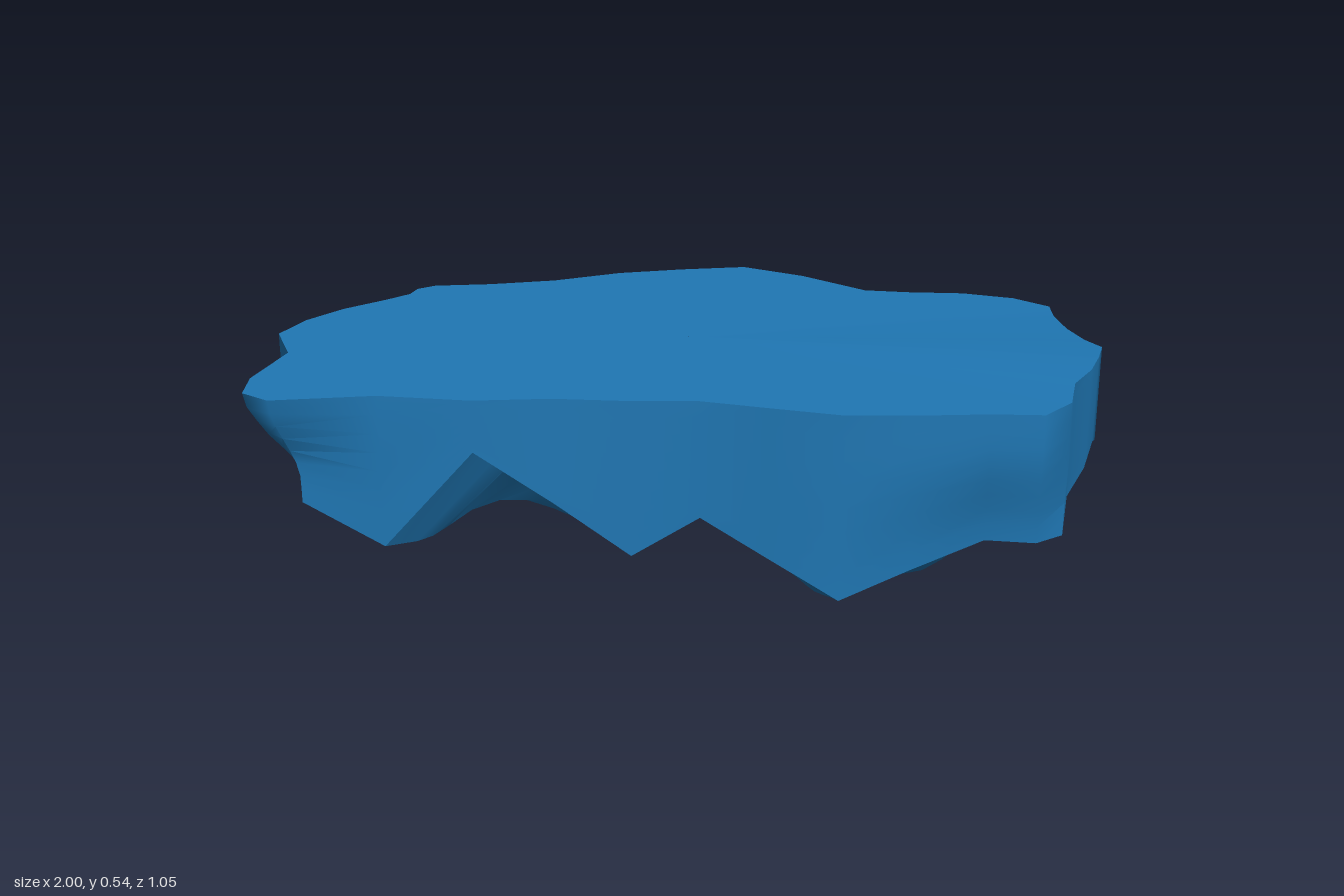
import * as THREE from 'three';
import { toCreasedNormals } from 'three/addons/utils/BufferGeometryUtils.js';

// Outline of the slab, clockwise from above: x, z, height of the wall's lower rim
const OUTLINE = [
  [-1, 0.11, 0.24], [-0.96, 0.01, 0.18], [-0.89, -0.08, 0.12], [-0.80, -0.16, 0.13], [-0.75, -0.21, 0.25],
  [-0.74, -0.25, 0.30], [-0.70, -0.28, 0.31], [-0.56, -0.31, 0.24], [-0.40, -0.36, 0.23], [-0.24, -0.44, 0.29],
  [-0.08, -0.49, 0.15], [0.08, -0.53, 0.13], [0.24, -0.48, 0.24], [0.41, -0.39, 0.21], [0.52, -0.39, 0.16],
  [0.66, -0.40, 0.06], [0.79, -0.38, 0.045], [0.88, -0.33, 0.12], [0.89, -0.26, 0.15], [0.92, -0.17, 0.21],
  [0.96, -0.09, 0.27], [1, -0.04, 0.30], [0.99, 0.03, 0.325], [0.97, 0.11, 0.29], [0.93, 0.19, 0.25],
  [0.92, 0.30, 0.20], [0.86, 0.38, 0.19], [0.74, 0.39, 0.195], [0.57, 0.42, 0.13], [0.41, 0.44, 0.065],
  [0.24, 0.42, 0.155], [0.08, 0.40, 0.24], [-0.08, 0.42, 0.14], [-0.26, 0.43, 0.27], [-0.44, 0.465, 0.405],
  [-0.66, 0.465, 0.15], [-0.90, 0.525, 0.26], [-0.97, 0.49, 0.25], [-0.98, 0.40, 0.24], [-0.94, 0.23, 0.22],
];
const { lerp, clamp, smoothstep } = THREE.MathUtils;

// Ridges hanging under the slab: x and z of both ends, radius, depth
const RIDGES = [
  [0.41, 0.42, 0.42, 0.18, 0.2, 0.24], [0.42, 0.18, 0.57, 0.12, 0.21, 0.25],
  [-0.08, 0.42, -0.08, 0.26, 0.13, 0.135], [-0.08, 0.26, -0.24, 0.2, 0.13, 0.115],
  [-0.66, 0.44, -0.68, 0.25, 0.16, 0.15], [0.72, -0.4, 0.68, -0.28, 0.14, 0.12],
  [0.02, -0.42, 0.02, -0.3, 0.12, 0.08],
];

function undersideHeight(x, z) {
  const drops = RIDGES.map(([x1, z1, x2, z2, radius, depth]) => {
    const dx = x2 - x1, dz = z2 - z1;
    const t = clamp(((x - x1) * dx + (z - z1) * dz) / (dx * dx + dz * dz), 0, 1);
    const d = Math.hypot(x - x1 - t * dx, z - z1 - t * dz) / radius;
    return depth * Math.exp(-d * d);
  });
  return 0.25 - Math.max(...drops);
}

// Top edge, slightly raised at the right end
const topEdge = OUTLINE.map(([x, z]) =>
  new THREE.Vector3(x, 0.535 + 0.01 * smoothstep(x, 0.5, 1) * Math.exp(-((z - 0.03) ** 2) / 0.03), z));

// Lower rim, drawn in at the left end, along the back and at the front corners
const rim = OUTLINE.map(([x, z, y]) => {
  const left = (1 - smoothstep(x, -1, -0.75)) ** 2;
  const back = z < 0 ? 0.09 * (1 - smoothstep(x, 0.15, 0.45)) * smoothstep(-z, 0.05, 0.4) : 0;
  const front = z > 0.32 ? 0.05 * Math.max(1 - smoothstep(x, -0.95, -0.65), smoothstep(x, 0.4, 0.7)) : 0;
  return new THREE.Vector3(x + 0.12 * left, y, z + back - front);
});

// Closed rings of points joined into a skin
function skin(rows, crease) {
  const n = OUTLINE.length, index = [];
  for (let r = 0; r < rows.length - 1; r++) {
    for (let i = 0; i < n; i++) {
      const a = r * n + i, b = r * n + (i + 1) % n;
      index.push(a, b, b + n, a, b + n, a + n);
    }
  }
  const geometry = new THREE.BufferGeometry().setFromPoints(rows.flat());
  geometry.setIndex(index);
  return toCreasedNormals(geometry, crease);
}

const rings = (count, ringPoint) => Array.from({ length: count + 1 }, (_, k) =>
  OUTLINE.map((_, i) => ringPoint(i, k / count)));

export function createModel() {
  const group = new THREE.Group();
  const material = new THREE.MeshStandardMaterial({ color: 0x1f77b4 });
  const add = (name, geometry) => {
    const mesh = new THREE.Mesh(geometry, material);
    mesh.name = name;
    group.add(mesh);
  };

  // Flat top
  const centre = new THREE.Vector3(0, 0.535, 0);
  add('topSurface', skin(rings(3, (i, t) => centre.clone().lerp(topEdge[i], Math.max(t, 0.001))), 0.5));

  // Side wall, steep above and curving in towards the rim, sooner at the front left corner
  add('sideWall', skin(rings(8, (i, t) => {
    const p = topEdge[i], q = rim[i], corner = p.x < -0.6 && p.z > 0.42;
    const inward = corner ? smoothstep(t, 0, 0.8) : smoothstep(t, 0.25, 1);
    return new THREE.Vector3(lerp(p.x, q.x, inward), lerp(p.y, q.y, t), lerp(p.z, q.z, inward));
  }), 0.95));

  // Rugged underside
  add('underside', skin(rings(20, (i, t) => {
    const s = Math.min(t, 0.999), x = rim[i].x * (1 - s), z = rim[i].z * (1 - s);
    return new THREE.Vector3(x, lerp(rim[i].y, undersideHeight(x, z), smoothstep(t, 0, 0.35)), z);
  }), 0.9));

  return group;
}
